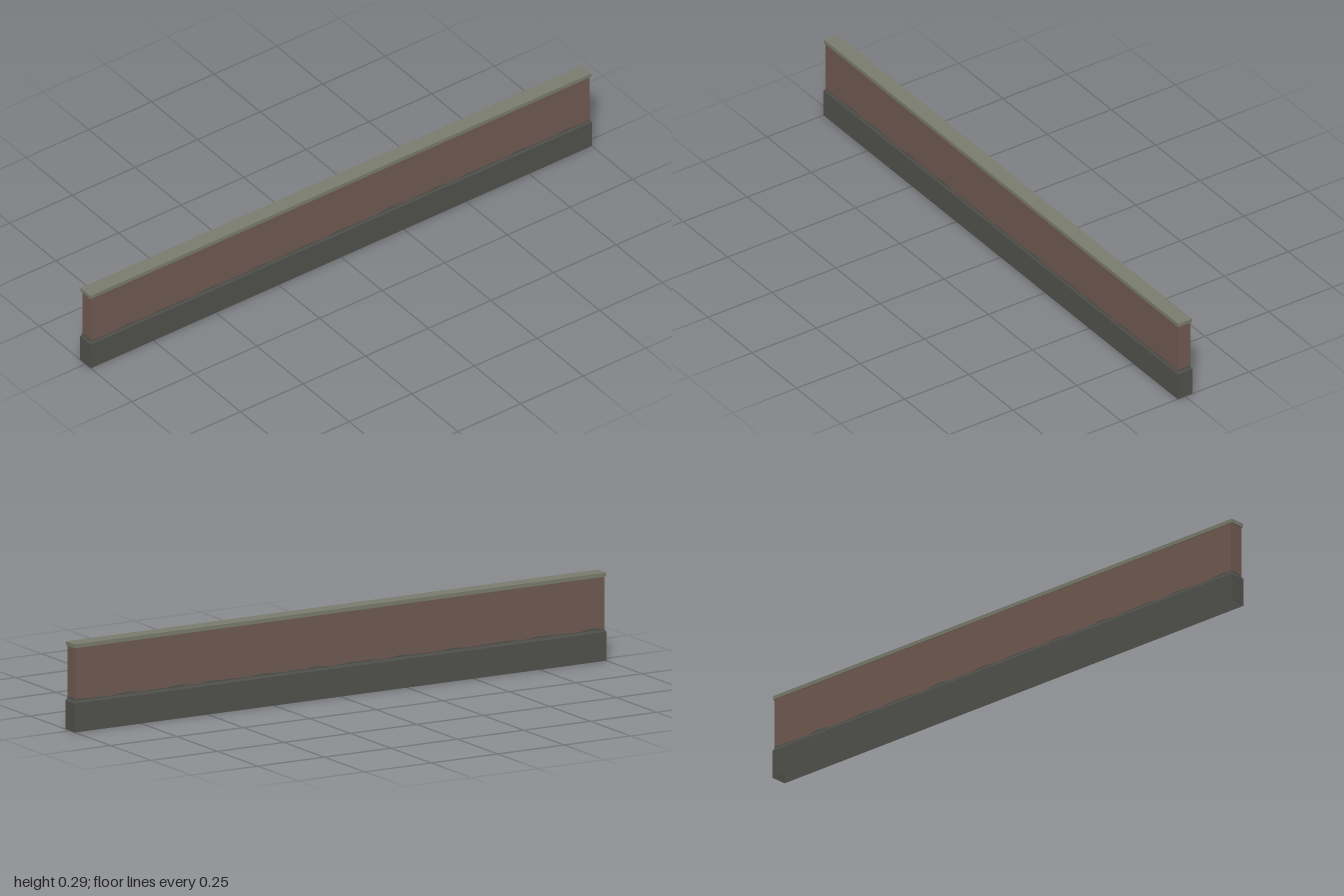
import * as THREE from 'three';

const flat = (name, color, side = THREE.FrontSide) => {
  const m = new THREE.MeshStandardMaterial({ color, side });
  m.name = name;
  return m;
};

// Open rectangular tube between two rings given as [halfX, y, halfZ]
function shell(bottom, top) {
  const corners = [[1, 1], [1, -1], [-1, -1], [-1, 1]];
  const at = ([hx, y, hz], [sx, sz]) => [sx * hx, y, sz * hz];
  const pos = [];
  corners.forEach((c, i) => {
    const n = corners[(i + 1) % 4];
    const a = at(bottom, c), b = at(bottom, n), d = at(top, n), e = at(top, c);
    pos.push(...a, ...b, ...d, ...a, ...d, ...e);
  });
  const g = new THREE.BufferGeometry();
  g.setAttribute('position', new THREE.Float32BufferAttribute(pos, 3));
  g.computeVertexNormals();
  return g;
}

// Strip with a ragged upper edge, centred on x and facing +z
function raggedStrip(halfWidth, y0, steps, phase) {
  const s = new THREE.Shape();
  s.moveTo(-halfWidth, y0);
  s.lineTo(halfWidth, y0);
  for (let i = 0; i <= steps; i++) {
    const x = halfWidth - (2 * halfWidth * i) / steps;
    const wave = Math.sin(x * 36 + phase) + 0.6 * Math.sin(x * 61 + 1.3 + phase);
    s.lineTo(x, y0 + 0.0035 + 0.0025 * wave * (wave > 0 ? 1 : 0.5));
  }
  return new THREE.ShapeGeometry(s);
}

export function createModel() {
  const group = new THREE.Group();
  const stone = flat('darkStone', 0x50514c, THREE.DoubleSide);
  const brick = flat('brick', 0x6f5951, THREE.DoubleSide);
  const coping = flat('copingStone', 0x787b6c);

  const add = (name, geometry, material) => {
    const mesh = new THREE.Mesh(geometry, material);
    mesh.name = name;
    group.add(mesh);
    return mesh;
  };

  // Hollow wall, open underneath
  add('plinth', shell([0.029, 0, 1], [0.029, 0.095, 1]), stone);
  add('plinthBevel', shell([0.029, 0.095, 1], [0.0245, 0.104, 0.995]), stone);
  add('brickWall', shell([0.0245, 0.104, 0.995], [0.0245, 0.278, 0.995]), brick);

  // Coping along the top
  const cap = add('coping', new THREE.BoxGeometry(0.053, 0.013, 2), coping);
  cap.position.y = 0.2835;

  // Ragged stone edge above the bevel, on the long sides and the ends
  for (const s of [1, -1]) {
    const long = add('raggedEdge', raggedStrip(0.995, 0.103, 160, s), stone);
    long.rotation.y = s * Math.PI / 2;
    long.position.x = s * 0.0251;
    const end = add('raggedEndEdge', raggedStrip(0.0245, 0.103, 8, 1), stone);
    end.rotation.y = s > 0 ? 0 : Math.PI;
    end.position.z = s * 0.9956;
  }
  return group;
}
